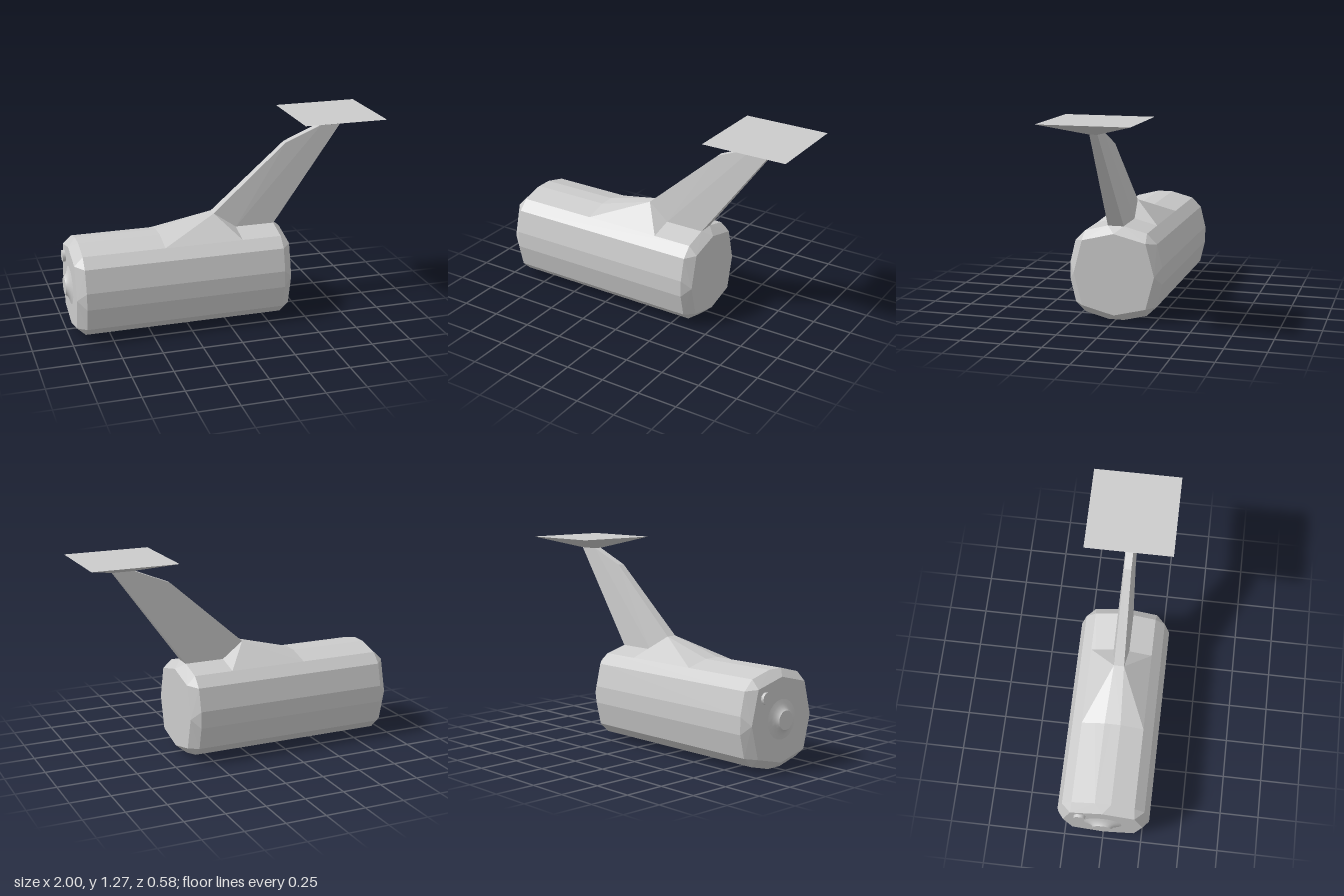
import * as THREE from 'three';
import { ConvexGeometry } from 'three/addons/geometries/ConvexGeometry.js';

const material = new THREE.MeshStandardMaterial({ color: 0xcccccc, flatShading: true });
const smooth = new THREE.MeshStandardMaterial({ color: 0xcccccc });

// Faceted solid from points [x, y, z], mirrored across z = 0
function mirroredSolid(name, points) {
  const all = [];
  for (const [x, y, z] of points) {
    all.push(new THREE.Vector3(x, y, z));
    if (z > 0) all.push(new THREE.Vector3(x, y, -z));
  }
  const mesh = new THREE.Mesh(new ConvexGeometry(all), material);
  mesh.name = name;
  return mesh;
}

// Turned part pointing along -x, from [radius, distance] pairs
function turned(name, profile, segments, x, y, z) {
  const points = profile.map(([r, d]) => new THREE.Vector2(r, d));
  const mesh = new THREE.Mesh(new THREE.LatheGeometry(points, segments), smooth);
  mesh.name = name;
  mesh.rotation.z = Math.PI / 2;
  mesh.position.set(x, y, z);
  return mesh;
}

export function createModel() {
  const model = new THREE.Group();
  model.name = 'model';

  // Barrel: sixteen-sided section with eight-sided, chamfered ends
  const section = [[0.05, 0.003], [0.195, 0.04], [0.257, 0.1], [0.291, 0.243],
    [0.291, 0.349], [0.257, 0.49], [0.195, 0.552], [0.05, 0.59]];
  const endSection = [[0, 0.043], [0.2, 0.093], [0.253, 0.296], [0.2, 0.5], [0, 0.55]];
  const barrel = [];
  for (const x of [-0.912, 0.345]) for (const [z, y] of section) barrel.push([x, y, z]);
  for (const x of [-0.966, 0.4]) for (const [z, y] of endSection) barrel.push([x, y, z]);
  model.add(mirroredSolid('barrel', barrel));

  // Fairing that rises from the barrel to the neck
  model.add(mirroredSolid('fairing', [
    [-0.4, 0.59, 0.05], [-0.045, 0.686, 0.032], [0.095, 0.59, 0.05],
    [0.095, 0.552, 0.195], [-0.155, 0.552, 0.195], [-0.4, 0.552, 0.195],
  ]));

  // Slanted, tapering neck
  model.add(mirroredSolid('neck', [
    [-0.045, 0.686, 0.032], [0.095, 0.588, 0.05], [0.345, 0.588, 0.05],
    [0.793, 1.202, 0.024], [0.665, 1.202, 0.024], [0.43, 1.105, 0.022],
  ]));

  // Flat-topped head, an inverted and truncated pyramid
  model.add(mirroredSolid('headPlate', [
    [0.465, 1.273, 0.271], [1, 1.273, 0.271],
    [0.665, 1.2, 0.024], [0.793, 1.2, 0.024],
  ]));

  // Flared hub and small knob on the end face
  model.add(turned('hub',
    [[0.12, 0], [0.095, 0.007], [0.075, 0.016], [0.062, 0.027], [0.058, 0.034], [0.058, 0.034], [0, 0.034]],
    20, -0.966, 0.3, 0));
  const knob = new THREE.Mesh(new THREE.CylinderGeometry(0.037, 0.037, 0.03, 12), smooth);
  knob.name = 'knob';
  knob.rotation.z = Math.PI / 2;
  knob.position.set(-0.97, 0.442, -0.142);
  model.add(knob);

  return model;
}
